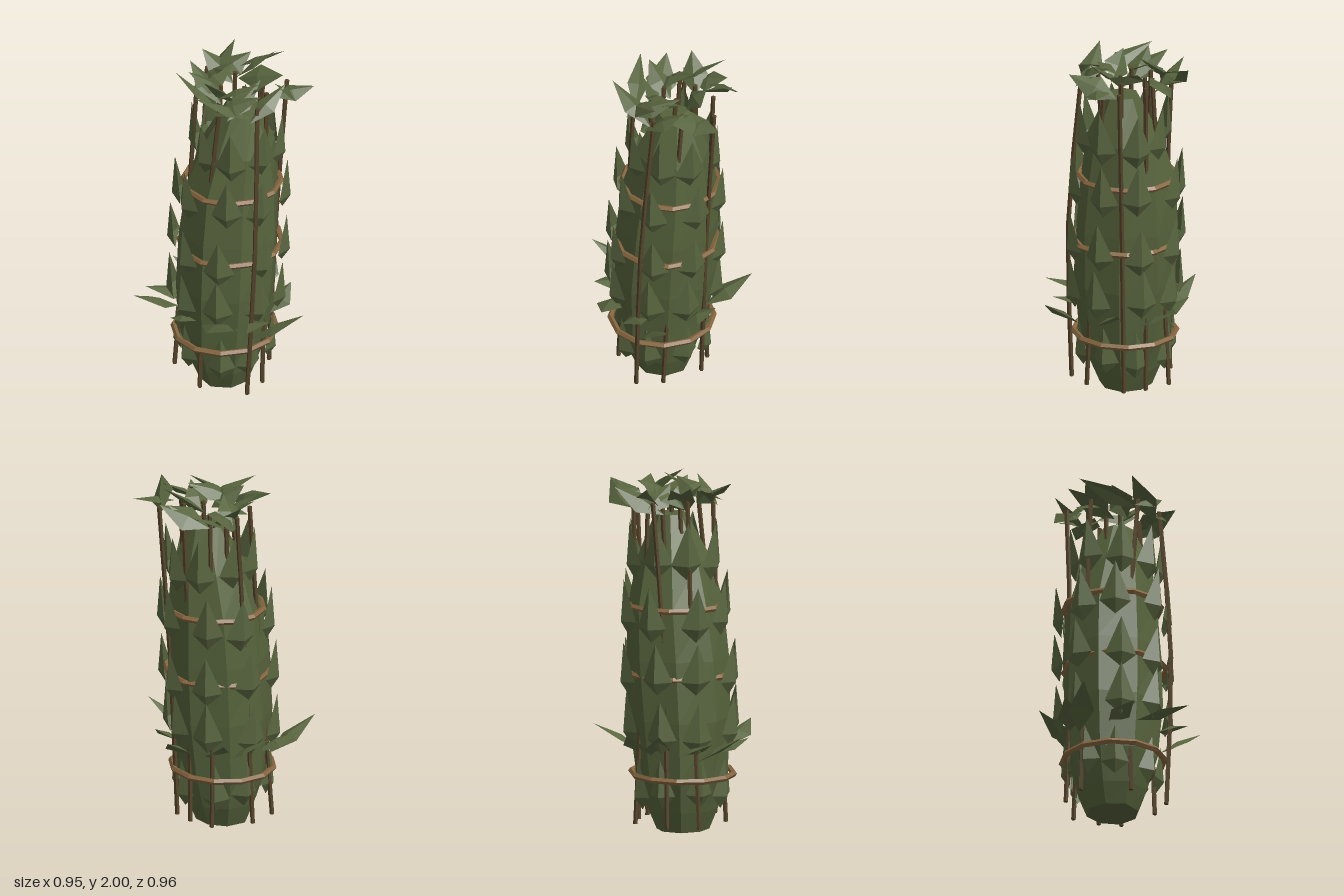
import * as THREE from 'three';

const mat = (name, color, side = THREE.FrontSide) =>
  Object.assign(new THREE.MeshStandardMaterial({ color, side, flatShading: true }), { name });
const V = (a) => new THREE.Vector3(...a);

// Centre line and radius of the trunk: [y, centre x, centre z, radius]
const SECTIONS = [
  [0, -0.05, 0, 0.15], [0.12, -0.05, 0, 0.2], [0.32, -0.05, 0, 0.26], [0.65, -0.045, -0.01, 0.29],
  [1.0, -0.045, -0.03, 0.29], [1.3, -0.045, -0.05, 0.27], [1.55, -0.02, -0.07, 0.212], [1.81, -0.01, -0.09, 0.09],
];

// Interpolated trunk section at a height
function sectionAt(y) {
  let i = 0;
  while (i < SECTIONS.length - 2 && SECTIONS[i + 1][0] < y) i++;
  const a = SECTIONS[i], b = SECTIONS[i + 1];
  const t = THREE.MathUtils.clamp((y - a[0]) / (b[0] - a[0]), 0, 1);
  return a.map((v, k) => v + (b[k] - v) * t);
}

function meshFrom(points, index, material, name) {
  const g = new THREE.BufferGeometry();
  g.setAttribute('position', new THREE.Float32BufferAttribute(points.flatMap((p) => p.toArray()), 3));
  g.setIndex(index);
  const flat = g.toNonIndexed();
  flat.computeVertexNormals();
  const m = new THREE.Mesh(flat, material);
  m.name = name;
  return m;
}

// Eight-sided leaning trunk with flat ends
function makeTrunk(material) {
  const n = 8, pts = [], idx = [];
  for (const [y, cx, cz, r] of SECTIONS) {
    for (let i = 0; i < n; i++) {
      const a = ((i + 0.5) / n) * Math.PI * 2;
      const rr = r * (1 + 0.03 * Math.sin(i * 2.3 + y * 4));
      pts.push(V([cx + Math.cos(a) * rr, y, cz + Math.sin(a) * rr]));
    }
  }
  const last = (SECTIONS.length - 1) * n;
  for (let s = 0; s < last; s += n) {
    for (let i = 0; i < n; i++) {
      const j = (i + 1) % n;
      idx.push(s + i, s + n + i, s + j, s + j, s + n + i, s + n + j);
    }
  }
  for (let i = 1; i < n - 1; i++) idx.push(0, i, i + 1, last, last + i + 1, last + i);
  return meshFrom(pts, idx, material, 'trunk');
}

// Folded kite leaf with a raised ridge and drooping edges
function makeLeaf(base, tip, up, halfWidth, bulge, widest, material, name) {
  const dir = tip.clone().sub(base);
  const side = dir.clone().cross(up).normalize();
  const normal = side.clone().cross(dir).normalize();
  const mid = base.clone().addScaledVector(dir, widest);
  const edge = mid.clone().addScaledVector(normal, -0.4 * bulge);
  const left = edge.clone().addScaledVector(side, -halfWidth);
  const right = edge.clone().addScaledVector(side, halfWidth);
  const ridge = mid.clone().addScaledVector(normal, bulge);
  return meshFrom([base, right, tip, left, ridge], [0, 1, 4, 1, 2, 4, 2, 3, 4, 3, 0, 4], material, name);
}

export function createModel() {
  const root = new THREE.Group();
  root.name = 'leafyBundle';
  const bark = mat('trunk green', 0x56633c);
  const leaf = mat('leaf green', 0x58653f, THREE.DoubleSide);
  const wood = mat('dark twig brown', 0x55442a);
  const cord = mat('binding brown', 0x86663f);

  root.add(makeTrunk(bark));

  // Rows of upright scale leaves: [base y, tip y, half width]
  const scales = new THREE.Group();
  scales.name = 'scaleLeaves';
  const rows = [[1.45, 1.78, 0.09], [1.13, 1.45, 0.09], [0.8, 1.1, 0.09], [0.49, 0.8, 0.09], [0.14, 0.43, 0.08]];
  rows.forEach(([y0, y1, w], r) => {
    for (let i = 0; i < 8; i++) {
      const a = (i / 8) * Math.PI * 2 + 0.06 * Math.sin(i * 3 + r * 2);
      const lift = 0.02 * Math.sin(i * 5 + r * 3);
      const [, cx, cz, rad] = sectionAt(y0 + 0.08);
      const at = (d, y) => V([cx + Math.cos(a) * (rad + d), y + lift, cz + Math.sin(a) * (rad + d)]);
      scales.add(makeLeaf(at(0.015, y0), at(0.045, y1), V([Math.cos(a), 0, Math.sin(a)]), w, 0.04, 0.26, leaf, 'scaleLeaf'));
    }
  });
  root.add(scales);

  // Spreading leaves low on the trunk: [base, tip]
  const skirt = new THREE.Group();
  skirt.name = 'spreadingLeaves';
  const spread = [
    [[-0.26, 0.42, 0.17], [-0.27, 0.6, 0.48]], [[0.06, 0.48, 0.24], [0.36, 0.59, 0.24]],
    [[0.22, 0.38, 0.03], [0.475, 0.6, -0.17]], [[-0.06, 0.44, -0.25], [-0.22, 0.6, -0.48]],
    [[-0.24, 0.43, -0.08], [-0.475, 0.6, 0.05]], [[-0.27, 0.45, 0.08], [-0.36, 0.56, 0.33]],
    [[-0.1, 0.46, 0.23], [0.03, 0.54, 0.38]], [[0.2, 0.47, 0.12], [0.38, 0.57, 0.0]],
    [[0.14, 0.44, -0.18], [0.1, 0.56, -0.36]], [[-0.21, 0.45, -0.18], [-0.37, 0.57, -0.2]],
  ];
  for (const [b, t] of spread) skirt.add(makeLeaf(V(b), V(t), V([0, 1, 0]), 0.075, 0.02, 0.45, leaf, 'spreadingLeaf'));
  root.add(skirt);

  // Pinwheel crown: [base x, base z, tip x, tip z, base y, half width, tip y]
  const crown = new THREE.Group();
  crown.name = 'crownLeaves';
  const tops = [
    [0.16, -0.19, 0.24, -0.42, 1.9, 0.07, 1.93], [0.09, -0.32, 0.33, -0.17, 1.88, 0.08],
    [-0.25, -0.02, -0.34, -0.29, 1.84, 0.09], [-0.26, -0.22, -0.07, -0.44, 1.87, 0.09],
    [-0.12, -0.15, 0.13, -0.28, 1.9, 0.08], [0.1, 0.12, -0.26, 0.19, 1.86, 0.06],
    [0.2, -0.01, 0.03, 0.27, 1.84, 0.07], [-0.04, 0.03, -0.31, 0.05, 1.83, 0.09],
    [-0.18, -0.16, -0.37, -0.08, 1.83, 0.08], [0.0, 0.09, 0.13, -0.12, 1.91, 0.07],
    [0.06, 0.17, 0.24, -0.04, 1.86, 0.06], [-0.19, 0.08, -0.15, -0.14, 1.87, 0.09],
    [-0.2, -0.2, -0.1, -0.4, 1.85, 0.08], [0.17, 0.15, 0.09, -0.15, 1.87, 0.06],
    [0.23, 0.03, 0.21, -0.24, 1.84, 0.06], [-0.02, -0.12, 0.18, -0.07, 1.86, 0.08],
    [-0.08, -0.04, -0.22, 0.13, 1.85, 0.08], [-0.32, -0.1, -0.12, -0.04, 1.86, 0.08],
    [0.04, -0.02, -0.07, 0.13, 1.86, 0.08], [-0.27, -0.12, -0.24, -0.33, 1.85, 0.08, 1.95],
  ];
  tops.forEach(([bx, bz, tx, tz, y, w, tipY = 1.998], i) => {
    const tilt = V([0.6 * Math.sin(i * 2), 1, 0.6 * Math.cos(i * 3)]);
    crown.add(makeLeaf(V([bx, y, bz]), V([tx, tipY, tz]), tilt, w, 0.02, 0.45, leaf, 'crownLeaf'));
  });
  root.add(crown);

  // Long twigs, partly sunk in the trunk: [foot x, foot z, bow x, bow z, top x, top z]
  const twigs = new THREE.Group();
  twigs.name = 'twigs';
  const long = [
    [0.25, 0.065, 0.28, 0.03, 0.22, -0.03], [0.03, 0.235, 0.02, 0.19, 0.08, 0.13],
    [-0.255, 0.2, -0.22, 0.14, -0.185, 0.095], [-0.32, 0.03, -0.29, 0.0, -0.305, -0.065],
    [-0.25, -0.2, -0.21, -0.17, -0.165, -0.16], [-0.1, -0.25, -0.1, -0.26, -0.09, -0.29],
    [0.03, -0.255, 0.05, -0.29, 0.08, -0.345], [0.2, -0.08, 0.17, -0.12, 0.12, -0.17],
  ];
  const addTwig = (pts) => {
    const curve = new THREE.CatmullRomCurve3(pts.map(V));
    const m = new THREE.Mesh(new THREE.TubeGeometry(curve, 4, 0.0135, 5), wood);
    m.name = 'twig';
    twigs.add(m);
    // End caps
    [0, 1].forEach((t) => {
      const cap = new THREE.Mesh(new THREE.CylinderGeometry(0.0135, 0.0135, 0.01, 5), wood);
      cap.position.copy(curve.getPoint(t));
      cap.name = 'twigEnd';
      twigs.add(cap);
    });
  };
  for (const [fx, fz, mx, mz, tx, tz] of long) addTwig([[fx, 0.05, fz], [mx, 1.0, mz], [tx, 1.91, tz]]);
  // Short twigs rising from the tip
  for (const [x, z] of [[0.03, -0.21], [0.005, -0.095], [-0.18, -0.065], [-0.085, 0]]) {
    addTwig([[x + 0.01, 1.5, z + 0.02], [x, 1.7, z + 0.01], [x, 1.92, z]]);
  }
  root.add(twigs);

  // Cord bindings: [y, centre x, centre z, radius]
  for (const [y, x, z, r] of [[0.325, -0.045, 0, 0.293], [0.905, -0.03, -0.03, 0.292], [1.3, -0.045, -0.05, 0.278]]) {
    const ring = new THREE.Mesh(new THREE.TorusGeometry(r, 0.018, 5, 12), cord);
    ring.rotation.set(Math.PI / 2 + 0.015, 0.015, 0.2);
    ring.position.set(x, y, z);
    ring.name = 'cordBinding';
    root.add(ring);
  }
  return root;
}
